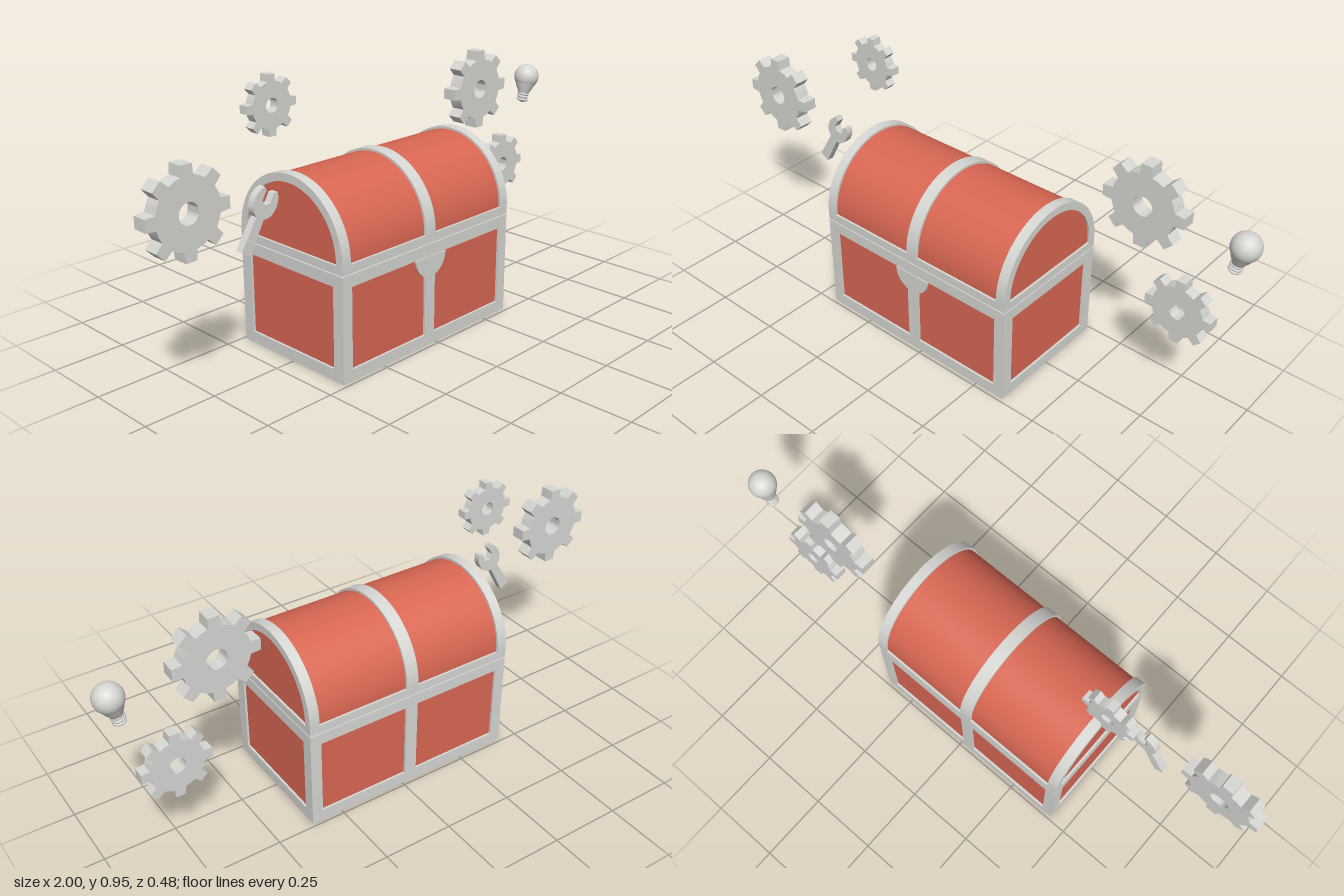
import * as THREE from 'three';
import { toCreasedNormals } from 'three/addons/utils/BufferGeometryUtils.js';

const CX = -0.033, W = 0.795, HZ = 0.238;          // chest centre, width, half depth
const SEAM = 0.364, ARCH_Y = 0.4, TOP = 0.638;     // lid line, arch centre, lid top

export function createModel() {
  const model = new THREE.Group();
  const red = new THREE.MeshStandardMaterial({ color: 0xd96753 });
  red.name = 'red panel';
  const grey = new THREE.MeshStandardMaterial({ color: 0xd6d6d3 });
  grey.name = 'light grey';

  const add = (name, geometry, material, x = 0, y = 0, z = 0, parent = model) => {
    const mesh = new THREE.Mesh(geometry, material);
    mesh.name = name;
    mesh.position.set(x, y, z);
    parent.add(mesh);
    return mesh;
  };
  const box = (name, material, w, h, d, x, y, z) =>
    add(name, new THREE.BoxGeometry(w, h, d), material, x, y, z);
  const extrude = (shape, depth, curveSegments = 24) => toCreasedNormals(
    new THREE.ExtrudeGeometry(shape, { depth, bevelEnabled: false, curveSegments }), 0.5);

  // Arched outline: straight sides up to the arch centre, then a half circle
  const arch = (r, bottom, Type = THREE.Shape) => {
    const s = new Type();
    s.moveTo(-r, bottom);
    s.lineTo(r, bottom);
    s.lineTo(r, ARCH_Y);
    s.absarc(0, ARCH_Y, r, 0, Math.PI, false);
    s.closePath();
    return s;
  };
  const rect = (x0, y0, x1, y1, Type = THREE.Shape) => new Type([
    [x0, y0], [x1, y0], [x1, y1], [x0, y1]].map(p => new THREE.Vector2(...p)));
  // Extrudes a side outline along x, starting at x0
  const acrossX = (name, shape, material, x0, width) => {
    add(name, extrude(shape, width), material, x0).rotation.y = Math.PI / 2;
  };

  // Chest base: recessed red body inside grey frames
  const x0 = CX - W / 2, x1 = CX + W / 2, inset = 0.008;
  const baseTop = SEAM - 0.002;
  box('baseBody', red, W - 2 * inset, 0.355, 2 * (HZ - inset), CX, 0.18, 0);
  add('baseBottom', new THREE.PlaneGeometry(W, 2 * HZ), red, CX).rotation.x = Math.PI / 2;
  const face = rect(x0, 0.001, x1, baseTop);
  face.holes.push(rect(x0 + 0.04, 0.042, CX - 0.023, 0.321, THREE.Path),
    rect(CX + 0.023, 0.042, x1 - 0.04, 0.321, THREE.Path));
  for (const [name, z] of [['frontFrame', HZ - 0.02], ['backFrame', -HZ]])
    add(name, extrude(face, 0.02), grey, 0, 0, z);
  const side = rect(-HZ, 0.001, HZ, baseTop);
  side.holes.push(rect(-0.195, 0.042, 0.195, 0.321, THREE.Path));
  acrossX('rightFrame', side, grey, x0, 0.02);
  acrossX('leftFrame', side, grey, x1 - 0.02, 0.02);
  box('seam', grey, W - 0.012, 0.012, 2 * HZ - 0.012, CX, SEAM, 0);

  // Lid: red barrel, arched straps and lower rails
  const lidBottom = SEAM + 0.002;
  acrossX('lidBody', arch(HZ - inset, lidBottom + 0.002), red, x0 + inset, W - 2 * inset);
  const endArch = arch(HZ, lidBottom);
  endArch.holes.push(arch(TOP - 0.028 - ARCH_Y, 0.394, THREE.Path));
  acrossX('rightLidStrap', endArch, grey, x0, 0.036);
  acrossX('leftLidStrap', endArch, grey, x1 - 0.036, 0.036);
  acrossX('middleLidStrap', arch(HZ, lidBottom), grey, CX - 0.023, 0.046);
  for (const s of [1, -1])
    box('lidRail', grey, W - 0.02, 0.03, 0.02, CX, lidBottom + 0.015, s * (HZ - 0.01));

  // Half-round latch on the front
  const latch = new THREE.Shape();
  latch.absarc(0, 0, 0.071, Math.PI, 2 * Math.PI, false);
  latch.closePath();
  add('latch', extrude(latch, 0.006), grey, CX, 0.32, HZ - 0.003);

  // Floating gears with eight teeth and a centre hole
  const gear = (name, x, y, z, r, depth) => {
    const s = new THREE.Shape(), root = 0.77 * r;
    for (let i = 0; i < 8; i++) {
      const a = i * Math.PI / 4;
      const points = [[root, -0.2], [r, -0.135], [r, 0.135], [root, 0.2], [root, 0.39]];
      points.forEach(([q, t], k) => {
        const px = q * Math.cos(a + t), py = q * Math.sin(a + t);
        if (i === 0 && k === 0) s.moveTo(px, py); else s.lineTo(px, py);
      });
    }
    s.closePath();
    const hole = new THREE.Path();
    hole.absarc(0, 0, 0.235 * r, 0, 2 * Math.PI, true);
    s.holes.push(hole);
    add(name, extrude(s, depth), grey, x, y, z - depth / 2);
  };
  gear('largeRightGear', -0.855, 0.635, 0.047, 0.145, 0.052);
  gear('smallRightGear', -0.458, 0.854, -0.047, 0.097, 0.034);
  gear('largeLeftGear', 0.617, 0.711, -0.125, 0.147, 0.052);
  gear('smallLeftGear', 0.775, 0.382, -0.125, 0.119, 0.042);

  // Open-ended wrench, drawn along +y from its handle end
  const w = new THREE.Shape();
  w.moveTo(-0.019, 0);
  w.lineTo(0.019, 0);
  w.lineTo(0.016, 0.115);
  w.quadraticCurveTo(0.046, 0.128, 0.046, 0.165);
  w.quadraticCurveTo(0.045, 0.193, 0.027, 0.208);
  w.lineTo(0.016, 0.2);
  w.lineTo(0.017, 0.168);
  w.lineTo(0, 0.157);
  w.lineTo(-0.017, 0.168);
  w.lineTo(-0.016, 0.2);
  w.lineTo(-0.027, 0.208);
  w.quadraticCurveTo(-0.045, 0.193, -0.046, 0.165);
  w.quadraticCurveTo(-0.046, 0.128, -0.016, 0.115);
  w.closePath();
  add('wrench', extrude(w, 0.026, 8), grey, -0.646, 0.448, 0.027).rotation.z = -0.53;

  // Light bulb: round glass, neck, ringed screw base and tip
  const bulb = new THREE.Group();
  bulb.name = 'lightBulb';
  bulb.position.set(0.95, 0.702, -0.134);
  bulb.rotation.z = -0.25;
  model.add(bulb);
  const glass = [[0.02, -0.068], [0.024, -0.058], [0.031, -0.046]];
  for (let i = 0; i <= 16; i++) {
    const a = -0.7 + (Math.PI / 2 + 0.7) * i / 16;
    glass.push([0.048 * Math.cos(a), 0.048 * Math.sin(a)]);
  }
  const lathe = points => new THREE.LatheGeometry(
    points.map(([r, y]) => new THREE.Vector2(Math.max(r, 0), y)), 28);
  add('glass', lathe(glass), grey, 0, 0, 0, bulb);
  add('screwBase', lathe([[0, -0.104], [0.009, -0.102], [0.017, -0.094], [0.018, -0.066], [0, -0.066]]),
    grey, 0, 0, 0, bulb);
  for (let i = 0; i < 3; i++) {
    const ring = add('screwThread', new THREE.TorusGeometry(0.018, 0.0045, 8, 28), grey,
      0, -0.071 - i * 0.011, 0, bulb);
    ring.rotation.x = Math.PI / 2 + 0.08;
  }
  return model;
}
